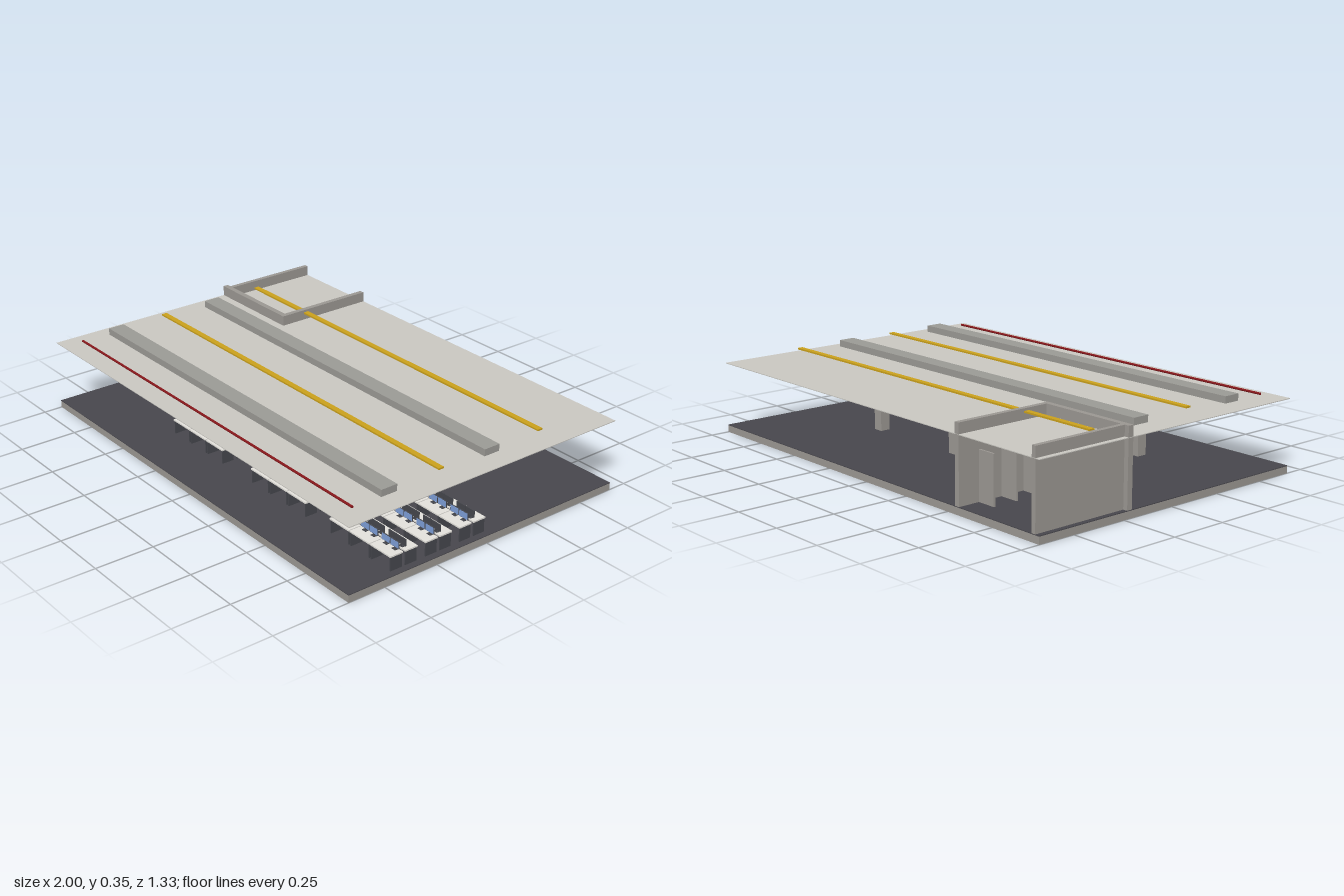
import * as THREE from 'three';

function mat(name, color) {
  const m = new THREE.MeshStandardMaterial({ color });
  m.name = name;
  return m;
}

export function createModel() {
  const concrete = mat('concrete grey', 0x9a9691);
  const duct = mat('duct grey', 0x9a9994);
  const carpet = mat('dark carpet', 0x47464c);
  const ceilingMat = mat('ceiling off-white', 0xc8c6c0);
  const trayMat = mat('tray yellow', 0xc9a01c);
  const pipeMat = mat('pipe red', 0x86161a);
  const frameMat = mat('dark frame', 0x45464c);
  const deskMat = mat('desk white', 0xe2e0da);
  const screenMat = mat('screen blue', 0x7d9dd6);

  const model = new THREE.Group();
  model.name = 'officeFloor';

  // Box given by its lower and upper limits on each axis
  function box(parent, name, material, [x0, x1], [y0, y1], [z0, z1]) {
    const mesh = new THREE.Mesh(new THREE.BoxGeometry(x1 - x0, y1 - y0, z1 - z0), material);
    mesh.position.set((x0 + x1) / 2, (y0 + y1) / 2, (z0 + z1) / 2);
    mesh.name = name;
    parent.add(mesh);
    return mesh;
  }
  const around = (c, size) => [c - size / 2, c + size / 2];

  // Floor and ceiling
  const floorY = 0.033, ceilY = 0.305;
  box(model, 'floorSlab', concrete, [-1, 1], [0, 0.03], [-0.667, 0.667]);
  box(model, 'carpet', carpet, [-1, 1], [0.03, floorY], [-0.667, 0.667]);
  box(model, 'ceiling', ceilingMat, [-1, 1], [ceilY, 0.308], [-0.667, 0.667]);

  // Two rows of columns
  for (const z of [0.333, -0.208])
    for (const x of [-0.5, 0, 0.5])
      box(model, 'column', concrete, around(x, 0.045), [floorY, ceilY], around(z, 0.045));

  // Service room, open at the back
  const room = new THREE.Group();
  room.name = 'serviceRoom';
  model.add(room);
  const wallY = [floorY, 0.352];
  box(room, 'frontWall', concrete, [-1, -0.545], wallY, [-0.235, -0.211]);
  box(room, 'outerWall', concrete, [-0.98, -0.96], wallY, [-0.667, -0.235]);
  box(room, 'innerWall', concrete, [-0.567, -0.545], wallY, [-0.667, -0.235]);
  for (const z of [-0.567, -0.457, -0.347])
    box(room, 'partition', concrete, [-0.65, -0.541], [floorY, 0.235], around(z, 0.008));

  // Services above the ceiling
  const run = [-0.917, 0.917];
  for (const z of [0.416, -0.086])
    box(model, 'airDuct', duct, run, [0.317, 0.346], around(z, 0.074));
  for (const z of [0.168, -0.337])
    box(model, 'cableTray', trayMat, run, [0.335, 0.342], around(z, 0.024));
  const pipe = new THREE.Mesh(new THREE.CylinderGeometry(0.005, 0.005, 1.834, 12), pipeMat);
  pipe.rotation.z = Math.PI / 2;
  pipe.position.set(0, 0.323, 0.585);
  pipe.name = 'sprinklerPipe';
  model.add(pipe);

  // Slim light strips under the ceiling
  for (let i = -2; i <= 2; i++)
    box(model, 'lightStrip', deskMat, run, [0.302, ceilY], around(i * 0.269, 0.012));

  // One desk with two monitors; its user sits on the +z side
  function makeDesk() {
    const desk = new THREE.Group();
    desk.name = 'desk';
    box(desk, 'desktop', deskMat, around(0, 0.115), [0.091, 0.097], around(0, 0.06));
    for (const s of [-1, 1]) {
      box(desk, 'sidePanel', frameMat, around(s * 0.053, 0.005), [floorY, 0.091], around(0, 0.054));
      const x = s * 0.0245;
      box(desk, 'monitorFoot', frameMat, around(x, 0.02), [0.097, 0.099], around(-0.018, 0.014));
      box(desk, 'monitorStand', frameMat, around(x, 0.005), [0.099, 0.112], around(-0.021, 0.004));
      box(desk, 'monitorCase', frameMat, around(x, 0.047), [0.106, 0.135], around(-0.019, 0.004));
      box(desk, 'screen', screenMat, around(x, 0.044), [0.1075, 0.1335], around(-0.0166, 0.001));
    }
    return desk;
  }

  // Back-to-back desks in three rows of three clusters
  for (const rowZ of [0.388, 0.22, 0.052])
    for (const clusterX of [-0.253, 0.297, 0.797])
      for (let i = -1; i <= 1; i++)
        for (const side of [1, -1]) {
          const desk = makeDesk();
          desk.position.set(clusterX + i * 0.119, 0, rowZ + side * 0.035);
          if (side < 0) desk.rotation.y = Math.PI;
          model.add(desk);
        }

  return model;
}
